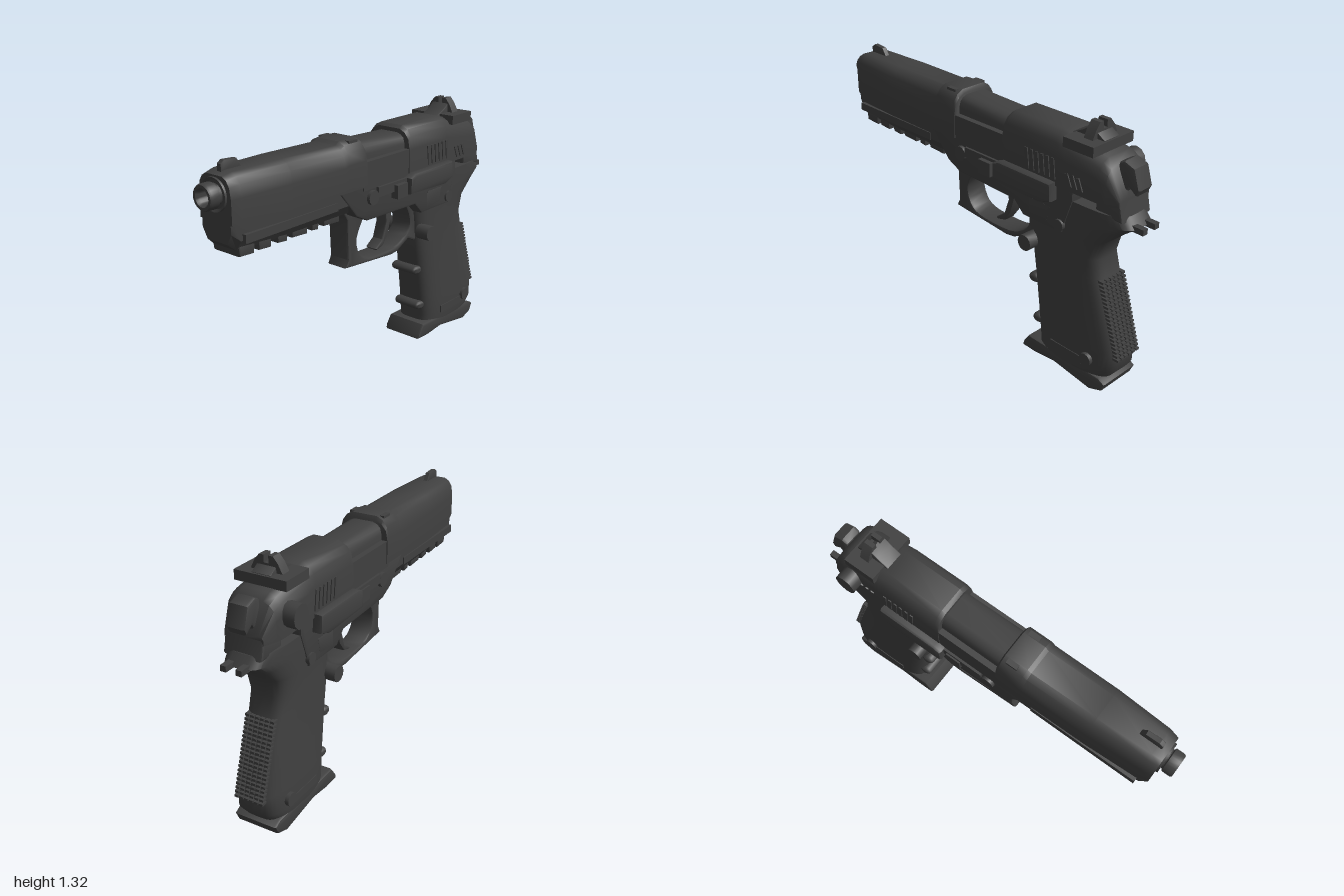
import * as THREE from 'three';
import { toCreasedNormals } from 'three/addons/utils/BufferGeometryUtils.js';

const gunmetal = new THREE.MeshStandardMaterial({ color: 0x404040 });
gunmetal.name = 'gunmetal';

export function createModel() {
  const model = new THREE.Group();
  model.name = 'pistolModel';

  const add = (name, geo, x = 0, y = 0, z = 0, crease = 0.6) => {
    const mesh = new THREE.Mesh(toCreasedNormals(geo, crease), gunmetal);
    mesh.name = name;
    mesh.position.set(x + 0.007, y, z);
    model.add(mesh);
    return mesh;
  };

  const box = (name, x0, x1, y0, y1, z0, z1) =>
    add(name, new THREE.BoxGeometry(x1 - x0, y1 - y0, z1 - z0), (x0 + x1) / 2, (y0 + y1) / 2, (z0 + z1) / 2);

  // Cylinder lying across the model, along x
  const pin = (name, x0, x1, y, z, r, sides = 16) =>
    add(name, new THREE.CylinderGeometry(r, r, x1 - x0, sides).rotateZ(Math.PI / 2), (x0 + x1) / 2, y, z);

  // Side profile of [z, y] points extruded across x, with bevelled edges
  const profile = (name, pts, width, bevel = 0.01, holePts, x = 0) => {
    const shape = new THREE.Shape(pts.map(p => new THREE.Vector2(...p)));
    if (holePts) {
      const curve = new THREE.SplineCurve([...holePts, holePts[0]].map(p => new THREE.Vector2(...p)));
      shape.holes.push(new THREE.Path(curve.getPoints(32)));
    }
    const geo = new THREE.ExtrudeGeometry(shape, {
      depth: width - 2 * bevel, bevelEnabled: bevel > 0, bevelThickness: bevel,
      bevelSize: bevel, bevelOffset: -bevel, bevelSegments: 2,
    });
    geo.translate(0, 0, bevel - width / 2).rotateY(-Math.PI / 2);
    return add(name, geo, x);
  };

  // Skin stretched over a row of equal rings, closed at both ends
  const loft = (name, rings, crease) => {
    const n = rings[0].length, idx = [], last = (rings.length - 1) * n;
    for (let i = 0; i < rings.length - 1; i++)
      for (let j = 0; j < n; j++) {
        const a = i * n + j, b = i * n + (j + 1) % n;
        idx.push(a, b, b + n, a, b + n, a + n);
      }
    for (let j = 1; j < n - 1; j++) idx.push(0, j + 1, j, last, last + j, last + j + 1);
    const geo = new THREE.BufferGeometry();
    geo.setAttribute('position', new THREE.Float32BufferAttribute(rings.flat(2), 3));
    geo.setIndex(idx);
    return add(name, geo, 0, 0, 0, crease);
  };

  // Chamfered slide section: z, half width, top, bottom
  const slideRing = ([z, w, t, b]) => {
    const half = [[w, b], [w, b + (t - b) * 0.55], [w * 0.92, b + (t - b) * 0.8], [w * 0.75, b + (t - b) * 0.93], [w * 0.5, t]];
    return [...half, ...half.slice().reverse().map(([x, y]) => [-x, y])].map(([x, y]) => [x, y, z]);
  };

  // Slide
  loft('slideFront', [[0.1, 0.134, 1.235, 1.02], [0.11, 0.134, 1.255, 1.02], [0.23, 0.134, 1.255, 1.02],
    [0.25, 0.132, 1.24, 1.02], [0.6, 0.128, 1.247, 1.02], [0.88, 0.112, 1.247, 1.02], [0.93, 0.1, 1.235, 1.03]].map(slideRing), 0.7);
  loft('slideRear', [[-0.9, 0.1, 1.04, 1.0], [-0.84, 0.125, 1.17, 1.0], [-0.8, 0.132, 1.195, 1.0],
    [-0.6, 0.134, 1.235, 1.0], [-0.55, 0.134, 1.25, 1.0], [-0.25, 0.134, 1.25, 1.0], [-0.23, 0.134, 1.235, 1.0]].map(slideRing), 0.7);
  box('slideRail', -0.13, 0.13, 1.0, 1.14, -0.24, 0.12);
  loft('barrelChamber', [[-0.24, 0.1, 1.215, 1.1], [0.12, 0.1, 1.227, 1.1]].map(slideRing), 0.7);
  for (const x of [-0.062, 0.062]) box('slideNotchLip', x - 0.035, x + 0.035, 1.235, 1.253, 0.13, 0.19);

  // Barrel with open bore
  const tube = [[0, 0.8], [0.034, 0.8], [0.034, 0.985], [0.042, 1], [0.055, 1], [0.06, 0.99], [0.06, 0.95], [0.05, 0.945], [0.05, 0.92], [0.076, 0.94], [0.08, 0.9]];
  add('barrel', new THREE.LatheGeometry(tube.map(p => new THREE.Vector2(...p)).reverse(), 28)
    .rotateX(Math.PI / 2), 0, 1.15, 0).material.side = THREE.DoubleSide;

  // Sights
  profile('frontSight', [[0.9, 1.23], [0.9, 1.275], [0.88, 1.29], [0.81, 1.285], [0.78, 1.24]], 0.026, 0.004);
  box('rearSightBase', -0.134, 0.134, 1.2, 1.248, -0.77, -0.6);
  const blade = new THREE.Shape([[-0.085, 1.24], [0.085, 1.24], [0.06, 1.29], [0.035, 1.32], [0.012, 1.32], [0.012, 1.285],
    [-0.012, 1.285], [-0.012, 1.32], [-0.035, 1.32], [-0.06, 1.29]].map(p => new THREE.Vector2(...p)));
  add('rearSightBlade', new THREE.ExtrudeGeometry(blade, { depth: 0.05, bevelEnabled: false }), 0, 0, -0.72);
  profile('rearSightRamp', [[-0.57, 1.21], [-0.57, 1.235], [-0.64, 1.27], [-0.68, 1.3], [-0.76, 1.25], [-0.76, 1.21]], 0.1, 0.006);

  // Hammer
  profile('hammer', [[-0.82, 1.02], [-0.84, 1.18], [-0.87, 1.195], [-0.925, 1.175], [-0.955, 1.08], [-0.94, 1.05], [-0.9, 1.08], [-0.87, 1.02]], 0.1, 0.015);

  // Slanted grip serrations and the side hardware on both flanks
  for (const s of [-1, 1]) {
    const span = (name, a, b, ...rest) => box(name, Math.min(s * a, s * b), Math.max(s * a, s * b), ...rest);
    const studs = (name, a, b, ...rest) => pin(name, Math.min(s * a, s * b), Math.max(s * a, s * b), ...rest);
    for (let i = 0; i < 6; i++) {
      const rib = span('slideSerration', 0.12, 0.139, 1.03, 1.13, -0.4 - i * 0.032, -0.383 - i * 0.032);
      rib.rotation.x = 0.12;
    }
    for (let i = 0; i < 3; i++) {
      const rib = span('rearSerration', 0.12, 0.139, 1.02, 1.085, -0.65 - i * 0.032, -0.633 - i * 0.032);
      rib.rotation.x = 0.4;
    }
    profile('slideStop', [[-0.2, 0.915], [-0.2, 1.0], [-0.24, 1.018], [-0.565, 1.018], [-0.57, 0.93], [-0.5, 0.905]], 0.07, 0.016, null, s * 0.14);
    span('slideStopArm', 0.11, 0.142, 0.95, 1.0, -0.22, 0.02);
    span('takedownCatch', 0.11, s > 0 ? 0.165 : 0.15, 0.915, 0.985, -0.18, -0.1);
    studs('takedownPin', 0.1, 0.142, 0.955, 0.055, 0.037);
    studs('triggerPin', 0.1, 0.135, 0.81, -0.59, 0.029);
    studs('magazineButton', 0.08, 0.158, 0.65, -0.405, 0.041, 12);
    studs('gripScrew', 0.1, 0.137, 0.17, -0.79, 0.034);
    span('gripSlot', 0.11, 0.126, 0.125, 0.165, -0.76, -0.565);
    profile('gripShoulder', [[-0.4, 0.79], [-0.4, 0.88], [-0.53, 0.88], [-0.515, 0.8]], 0.03, 0.006, null, s * 0.112);
    span('tangProng', 0.025, 0.055, 0.89, 0.918, -1, -0.9);
  }
  const safety = pin('safetyKnob', -0.19, -0.1, 1.095, -0.75, 0.058, 12);
  safety.scale.z = 0.95;

  // Frame, dust cover and accessory rail
  profile('frame', [[0.29, 1.025], [0.165, 0.88], [0.08, 0.84], [-0.3, 0.83], [-0.36, 0.77], [-0.6, 0.77], [-0.66, 0.95], [-0.66, 1.02]], 0.25, 0.012);
  const coverRing = ([z, w, b]) => [[-w, 1.03], [-w, b + 0.05], [-w * 0.7, b], [w * 0.7, b], [w, b + 0.05], [w, 1.03]].map(([x, y]) => [x, y, z]);
  loft('dustCover', [[0.15, 0.122, 0.9], [0.6, 0.118, 0.9], [0.89, 0.105, 0.905], [0.93, 0.09, 0.94]].map(coverRing), 0.5);
  for (const [z0, z1] of [[0.79, 0.89], [0.69, 0.775], [0.59, 0.66], [0.46, 0.57], [0.385, 0.44], [0.24, 0.36]])
    profile('railTooth', [[z0, 0.93], [z0 + 0.008, 0.87], [z1 - 0.008, 0.875], [z1, 0.93]], 0.17, 0.008);
  for (const s of [-1, 1]) box('railFlange', s * 0.113 - 0.012, s * 0.113 + 0.012, 0.945, 0.985, 0.3, 0.88);

  // Trigger guard and trigger
  profile('triggerGuard', [[0.2, 0.9], [0.165, 0.85], [0.155, 0.64], [0.175, 0.6], [0.13, 0.595], [-0.19, 0.568], [-0.24, 0.575],
    [-0.33, 0.62], [-0.42, 0.58], [-0.42, 0.9]], 0.125, 0.012,
  [[0.04, 0.83], [-0.12, 0.835], [-0.27, 0.83], [-0.325, 0.77], [-0.34, 0.69], [-0.29, 0.635], [-0.2, 0.603], [-0.02, 0.605], [0.06, 0.64], [0.09, 0.73]]);
  profile('trigger', [[-0.16, 0.86], [-0.175, 0.75], [-0.145, 0.66], [-0.09, 0.622], [-0.1, 0.612], [-0.15, 0.625], [-0.19, 0.68],
    [-0.215, 0.77], [-0.23, 0.86]], 0.07, 0.008);

  // Grip as rounded sections: y, front z, back z, half width
  const gripRing = ([y, f, b, w]) => Array.from({ length: 36 }, (_, i) => {
    const a = i / 36 * Math.PI * 2, soft = v => Math.sign(v) * Math.abs(v) ** 0.55;
    return [w * soft(Math.cos(a)), y, (f + b) / 2 - (f - b) / 2 * soft(Math.sin(a))];
  });
  loft('grip', [[0.08, -0.45, -0.88, 0.118], [0.13, -0.45, -0.92, 0.124], [0.23, -0.435, -0.925, 0.12], [0.47, -0.4, -0.85, 0.114],
    [0.59, -0.38, -0.81, 0.112], [0.68, -0.375, -0.785, 0.112], [0.775, -0.36, -0.81, 0.114], [0.855, -0.345, -0.9, 0.118],
    [0.9, -0.34, -0.96, 0.118], [0.95, -0.34, -0.92, 0.118]].map(gripRing), 0.8);
  profile('tangBlock', [[-0.77, 0.93], [-0.77, 1.02], [-0.9, 1.02], [-0.92, 0.93]], 0.2, 0.012);

  // Finger ridges on the front strap
  for (const [y, z] of [[0.42, -0.4], [0.2, -0.435]]) {
    const ridge = add('fingerRidge', new THREE.CapsuleGeometry(0.024, 0.13, 4, 12).rotateZ(Math.PI / 2), 0, y, z, 1);
    ridge.scale.z = 1.5;
  }

  // Checkered backstrap
  for (let i = 0; i < 20; i++) {
    const t = i / 19, y = 0.58 - 0.37 * t, z = -0.812 - 0.115 * t;
    for (let j = 0; j < 6; j++)
      box('backstrapStud', -0.078 + j * 0.027, -0.057 + j * 0.027, y - 0.006, y + 0.006, z - 0.014, z + 0.03);
  }

  // Magazine floor plate
  profile('floorPlate', [[-0.37, 0.025], [-0.375, 0.05], [-0.41, 0.1], [-0.86, 0.09], [-0.9, 0.07], [-0.88, 0.025], [-0.81, 0], [-0.58, 0.035], [-0.46, 0.022]], 0.235, 0.012);

  return model;
}
